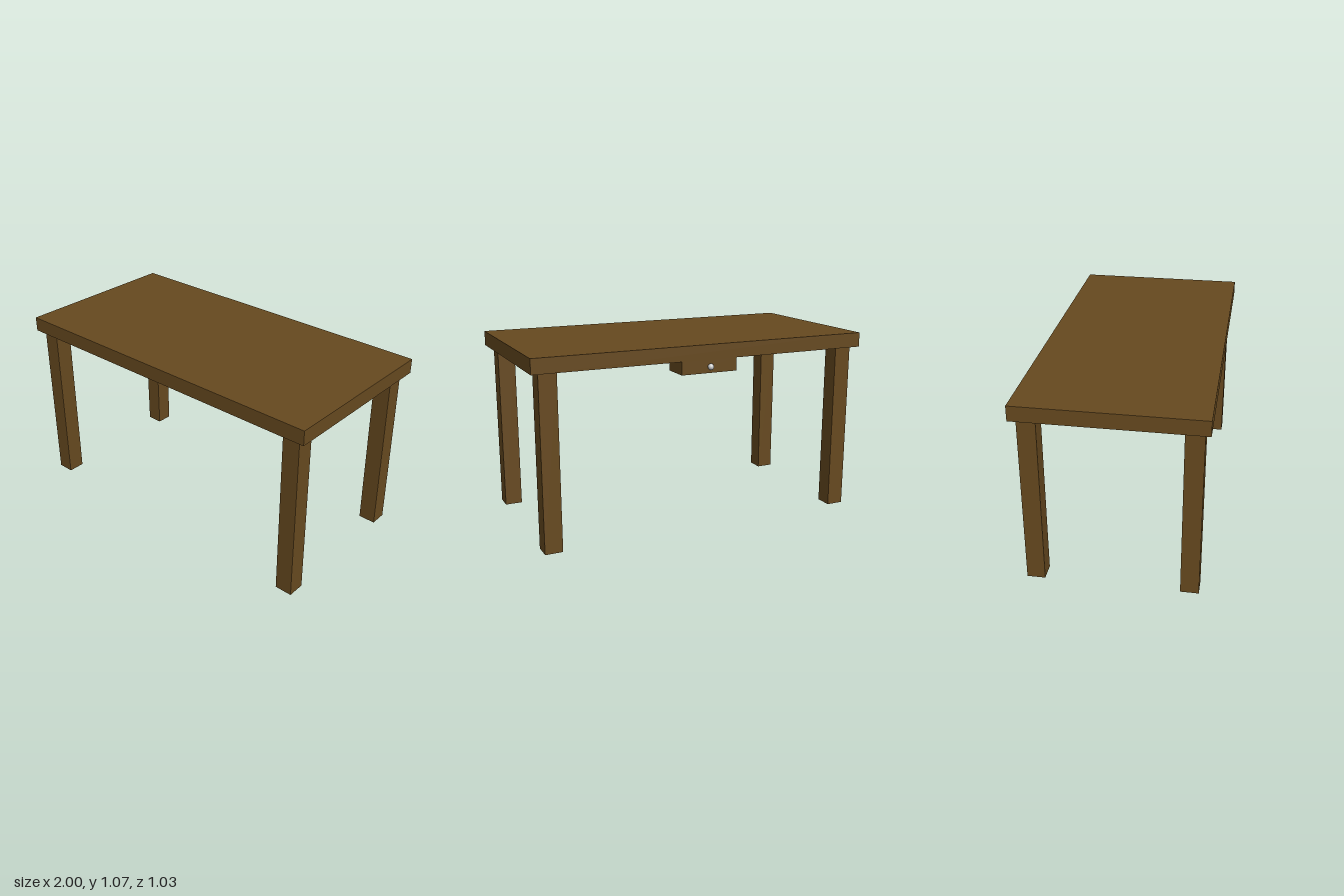
import * as THREE from 'three';

export function createModel() {
  const model = new THREE.Group();
  model.name = 'table';
  const wood = new THREE.MeshStandardMaterial({ color: 0x66491f });
  const metal = new THREE.MeshStandardMaterial({ color: 0xcccccc });

  const add = (name, geometry, material, x, y, z) => {
    const mesh = new THREE.Mesh(geometry, material);
    mesh.name = name;
    mesh.position.set(x, y, z);
    model.add(mesh);
  };

  const topBottom = 0.984, topThickness = 0.084, topZ = 0.017;

  // Table top
  add('tableTop', new THREE.BoxGeometry(2, topThickness, 1), wood,
    0, topBottom + topThickness / 2, topZ);

  // Four square legs
  const legGeometry = new THREE.BoxGeometry(0.1, topBottom, 0.1);
  for (const [side, x] of [['Left', 0.906], ['Right', -0.906]]) {
    for (const [end, z] of [['front', 0.437], ['back', -0.402]]) {
      add(`${end}${side}Leg`, legGeometry, wood, x, topBottom / 2, z);
    }
  }

  // Small drawer under the back edge, with a round knob
  add('drawer', new THREE.BoxGeometry(0.336, 0.074, 0.159), wood,
    0, topBottom - 0.037, -0.4035);
  add('drawerKnob', new THREE.SphereGeometry(0.0175, 32, 16), metal, 0, 0.947, -0.499);

  return model;
}
